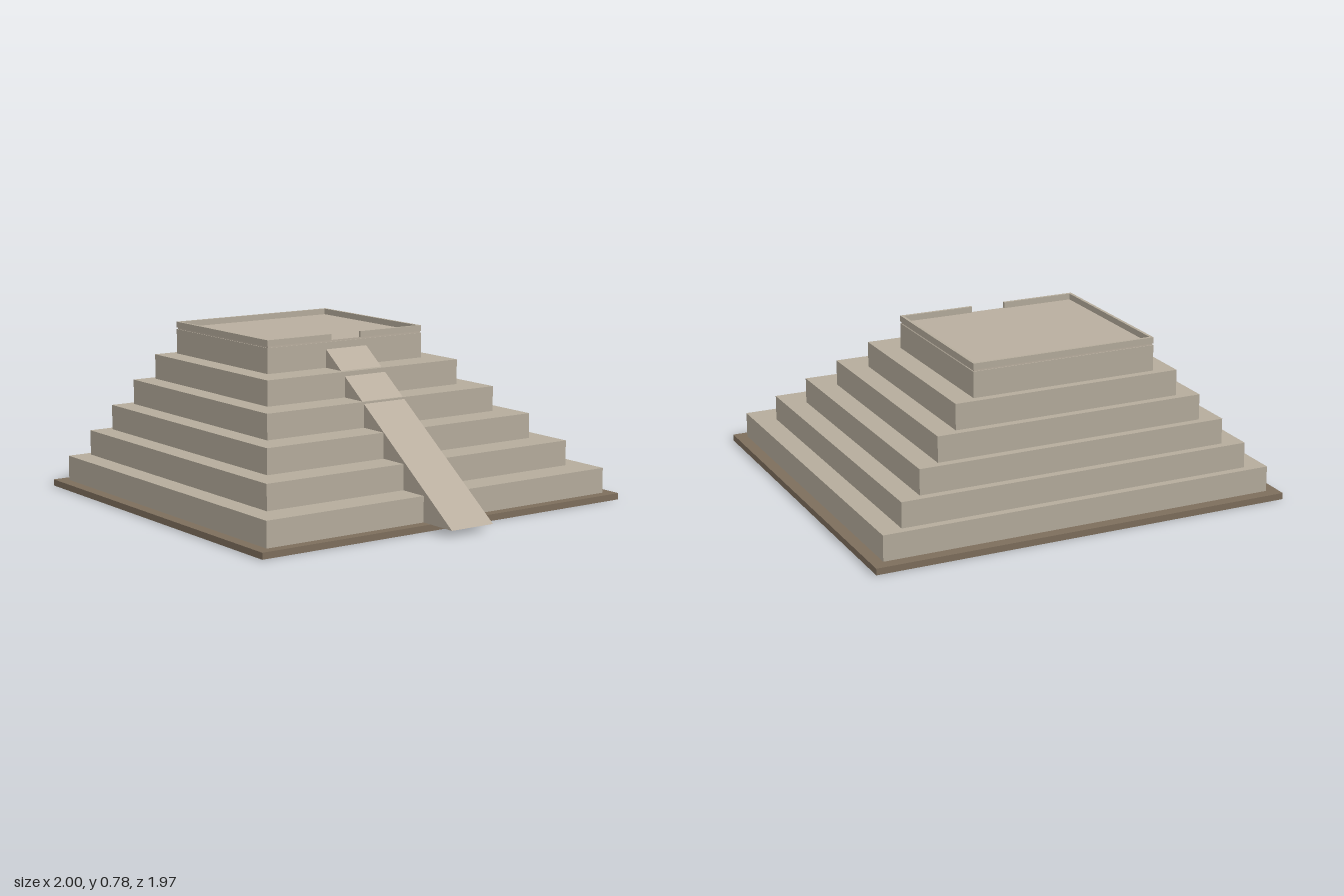
import * as THREE from 'three';

const material = (name, color) => {
  const m = new THREE.MeshStandardMaterial({ color });
  m.name = name;
  return m;
};

export function createModel() {
  const group = new THREE.Group();
  const stone = material('stone', 0xb5ac9c);
  const earth = material('earth', 0x7d6e5c);
  const paleStone = material('pale stone', 0xb9ae9f);

  // Box given by its limits on each axis
  const block = (name, mat, x0, x1, y0, y1, z0, z1) => {
    const mesh = new THREE.Mesh(new THREE.BoxGeometry(x1 - x0, y1 - y0, z1 - z0), mat);
    mesh.position.set((x0 + x1) / 2, (y0 + y1) / 2, (z0 + z1) / 2);
    mesh.name = name;
    group.add(mesh);
  };

  // Ground plinth
  const baseTop = 0.03;
  block('plinth', earth, -1, 1, 0, baseTop, -0.985, 0.835);

  // Six stepped tiers, set back further at the front than at the rear
  const tiers = 6, rise = 0.119;
  for (let i = 0; i < tiers; i++) {
    const w = 0.945 - i * 0.101;
    block(`tier${i + 1}`, stone, -w, w, baseTop + i * rise, baseTop + (i + 1) * rise,
      -0.93 + i * 0.0364, 0.785 - i * 0.1484);
  }

  // Summit floor and low parapet with an opening at the stair
  const top = baseTop + tiers * rise;
  const w = 0.44, zb = -0.748, zf = 0.043, t = 0.014, y0 = 0.752, y1 = 0.78, gap = 0.083;
  block('summitFloor', paleStone, -w + 0.004, w - 0.004, top, y0, zb + 0.004, zf - 0.004);
  block('parapetBack', stone, -w, w, y0, y1, zb, zb + t);
  for (const s of [-1, 1]) {
    const side = s < 0 ? 'Right' : 'Left';
    const span = (a, b) => [Math.min(s * a, s * b), Math.max(s * a, s * b)];
    block('parapet' + side, stone, ...span(w - t, w), y0, y1, zb + t, zf - t);
    block('parapetFront' + side, stone, ...span(gap, w), y0, y1, zf - t, zf);
  }

  // Stair ramp: a triangular wedge running up the front into the top tier
  const profile = new THREE.Shape([
    new THREE.Vector2(-0.985, baseTop),
    new THREE.Vector2(-0.035, baseTop),
    new THREE.Vector2(-0.035, 0.717),
  ]);
  const rampWidth = 0.23;
  const rampGeometry = new THREE.ExtrudeGeometry(profile, { depth: rampWidth, bevelEnabled: false });
  rampGeometry.translate(0, 0, -rampWidth / 2).rotateY(Math.PI / 2);
  const ramp = new THREE.Mesh(rampGeometry, paleStone);
  ramp.name = 'stairRamp';
  group.add(ramp);

  return group;
}
